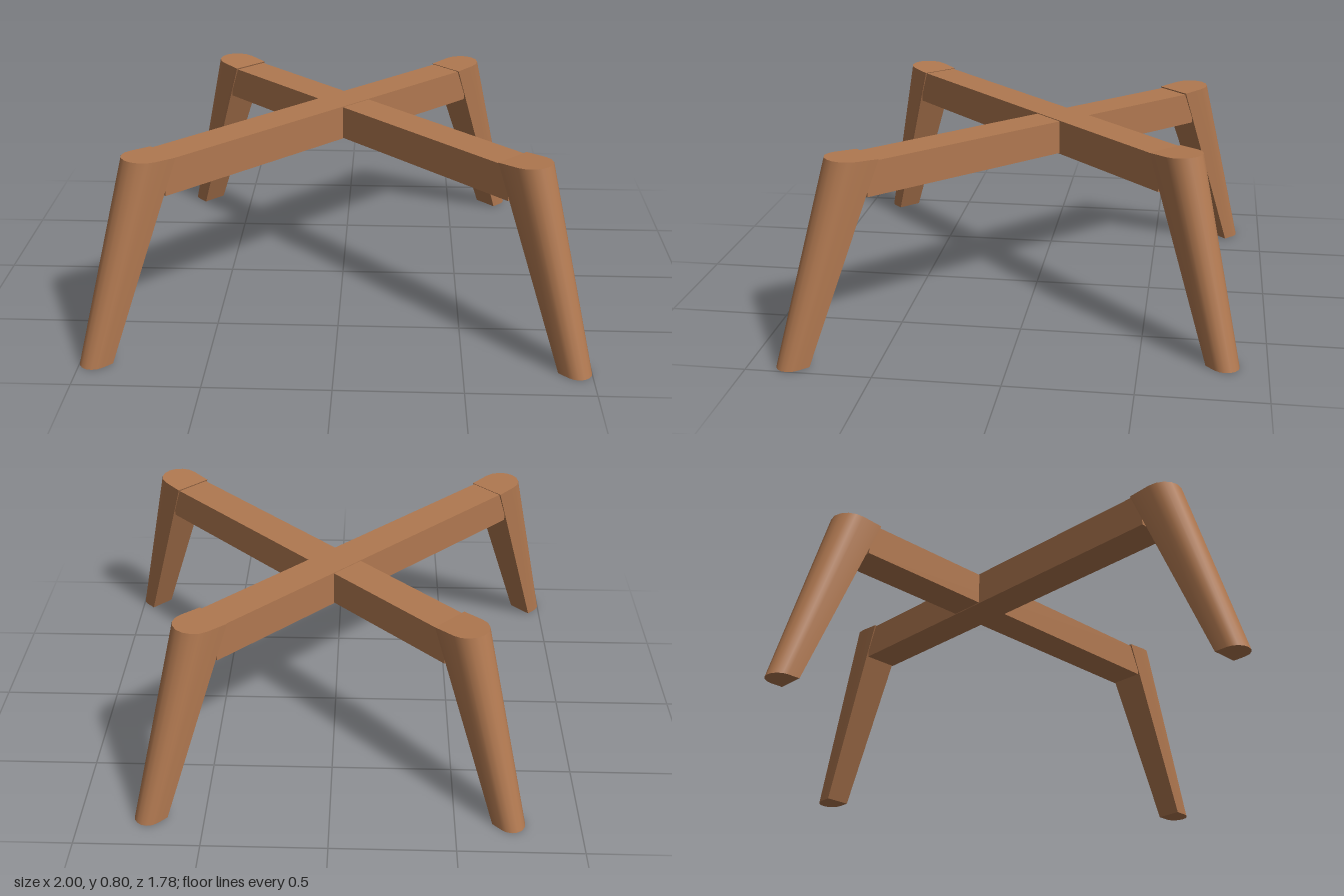
import * as THREE from 'three';
import { toCreasedNormals } from 'three/addons/utils/BufferGeometryUtils.js';

const ARC_STEPS = 8;

// D-shaped outline: flat inner face, rounded outer side; x runs outward
function outline(inner, centre, half, yInner, yOuter) {
  const pts = [[inner, -half]];
  for (let i = 0; i <= ARC_STEPS; i++) {
    const a = -Math.PI / 2 + (i / ARC_STEPS) * Math.PI;
    pts.push([centre + half * Math.cos(a), half * Math.sin(a)]);
  }
  pts.push([inner, half]);
  const depth = centre + half - inner;
  return pts.map(([x, z]) =>
    new THREE.Vector3(x, yInner + (yOuter - yInner) * (x - inner) / depth, z));
}

// Tapered, splayed leg lofted between the foot and top outlines
function legGeometry() {
  const foot = outline(1.285, 1.336, 0.056, 0, 0);
  const top = outline(0.955, 1.05, 0.083, 0.788, 0.8);
  const n = foot.length;
  const tris = [];
  for (let i = 0; i < n; i++) {
    const j = (i + 1) % n;
    tris.push(foot[i], top[i], foot[j], foot[j], top[i], top[j]);
    if (i > 0 && i < n - 1) {
      tris.push(foot[0], foot[i], foot[j]);
      tris.push(top[0], top[j], top[i]);
    }
  }
  const geo = new THREE.BufferGeometry().setFromPoints(tris);
  return toCreasedNormals(geo, 0.6);
}

export function createModel() {
  const wood = new THREE.MeshStandardMaterial({ color: 0xb07850 });
  wood.name = 'warm wood';

  const model = new THREE.Group();
  model.name = 'crossLegBase';
  const frame = new THREE.Group();
  frame.name = 'frame';
  frame.position.z = -0.11; // the beams cross behind the middle
  model.add(frame);

  const legGeo = legGeometry();
  const backShift = 0.311; // back legs sit closer to the crossing

  for (const side of [1, -1]) {
    const name = side > 0 ? 'left' : 'right';
    const frontAngle = side > 0 ? -Math.PI / 4 : -3 * Math.PI / 4;

    // Beam running from this front leg to the opposite back leg
    const arm = new THREE.Group();
    arm.name = name + 'FrontDiagonal';
    arm.rotation.y = frontAngle;
    const yTop = side > 0 ? 0.782 : 0.785;
    const yBottom = side > 0 ? 0.643 : 0.64;
    const beam = new THREE.Mesh(
      new THREE.BoxGeometry(1.7, yTop - yBottom, 0.152), wood);
    beam.name = name + 'Beam';
    beam.position.set(backShift / 2, (yTop + yBottom) / 2, 0);
    arm.add(beam);

    // Front leg
    const front = new THREE.Mesh(legGeo, wood);
    front.name = name + 'FrontLeg';
    arm.add(front);

    // Back leg at the other end
    const back = new THREE.Mesh(legGeo, wood);
    back.name = (side > 0 ? 'right' : 'left') + 'BackLeg';
    back.rotation.y = Math.PI;
    back.position.x = backShift;
    arm.add(back);

    frame.add(arm);
  }
  return model;
}
